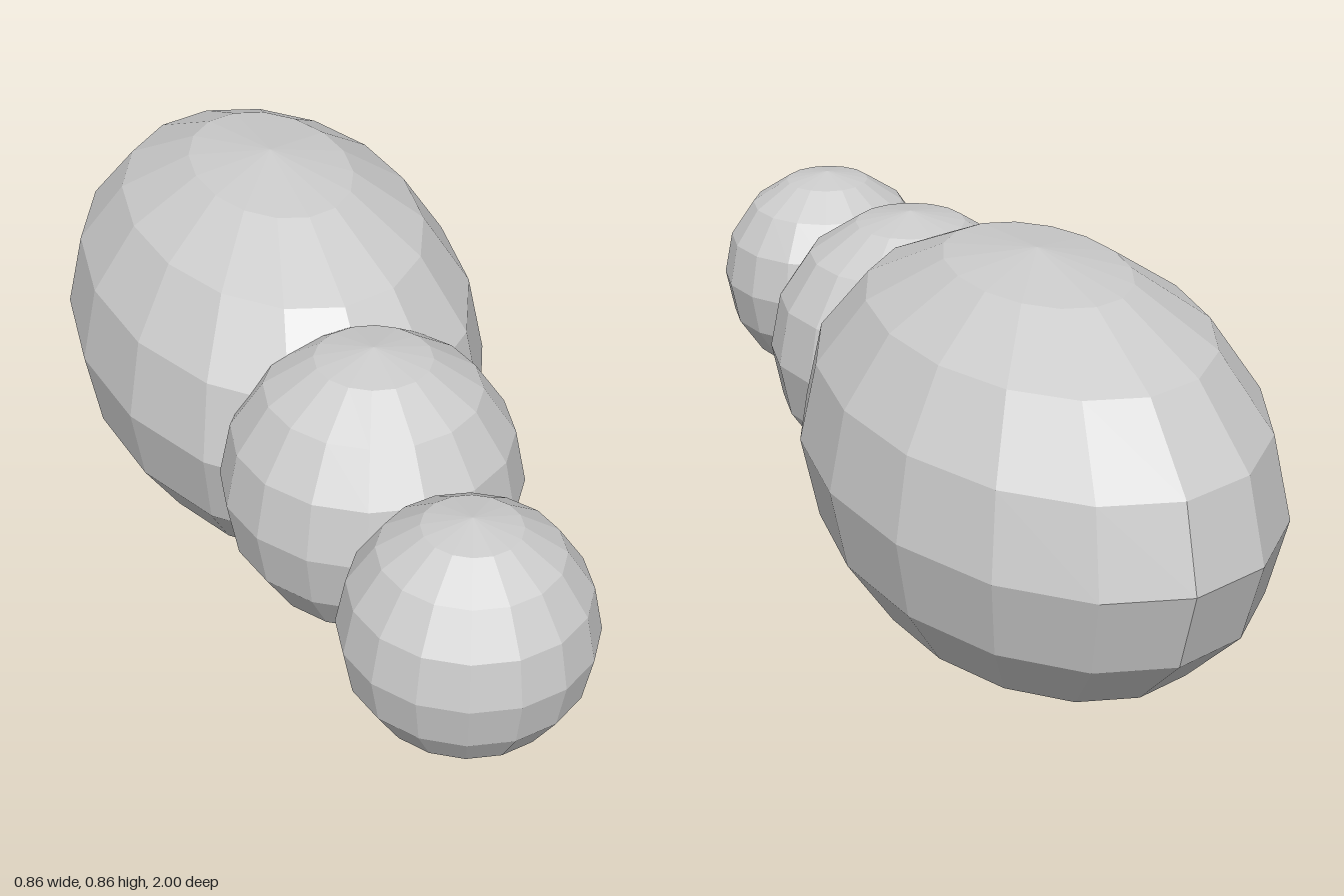
import * as THREE from 'three';

export function createModel() {
  const model = new THREE.Group();
  const material = new THREE.MeshStandardMaterial({ color: 0xcccccc, flatShading: true });
  const axisHeight = 0.43;

  // One faceted body segment, poles up, stretched along z
  function segment(name, radius, z, stretch = 1) {
    const mesh = new THREE.Mesh(new THREE.SphereGeometry(radius, 16, 8), material);
    mesh.name = name;
    mesh.scale.z = stretch;
    mesh.position.set(0, axisHeight, z);
    model.add(mesh);
  }

  segment('abdomen', 0.43, -0.355, 1.5);
  segment('thorax', 0.306, 0.26);
  segment('head', 0.245, 0.755);

  return model;
}
